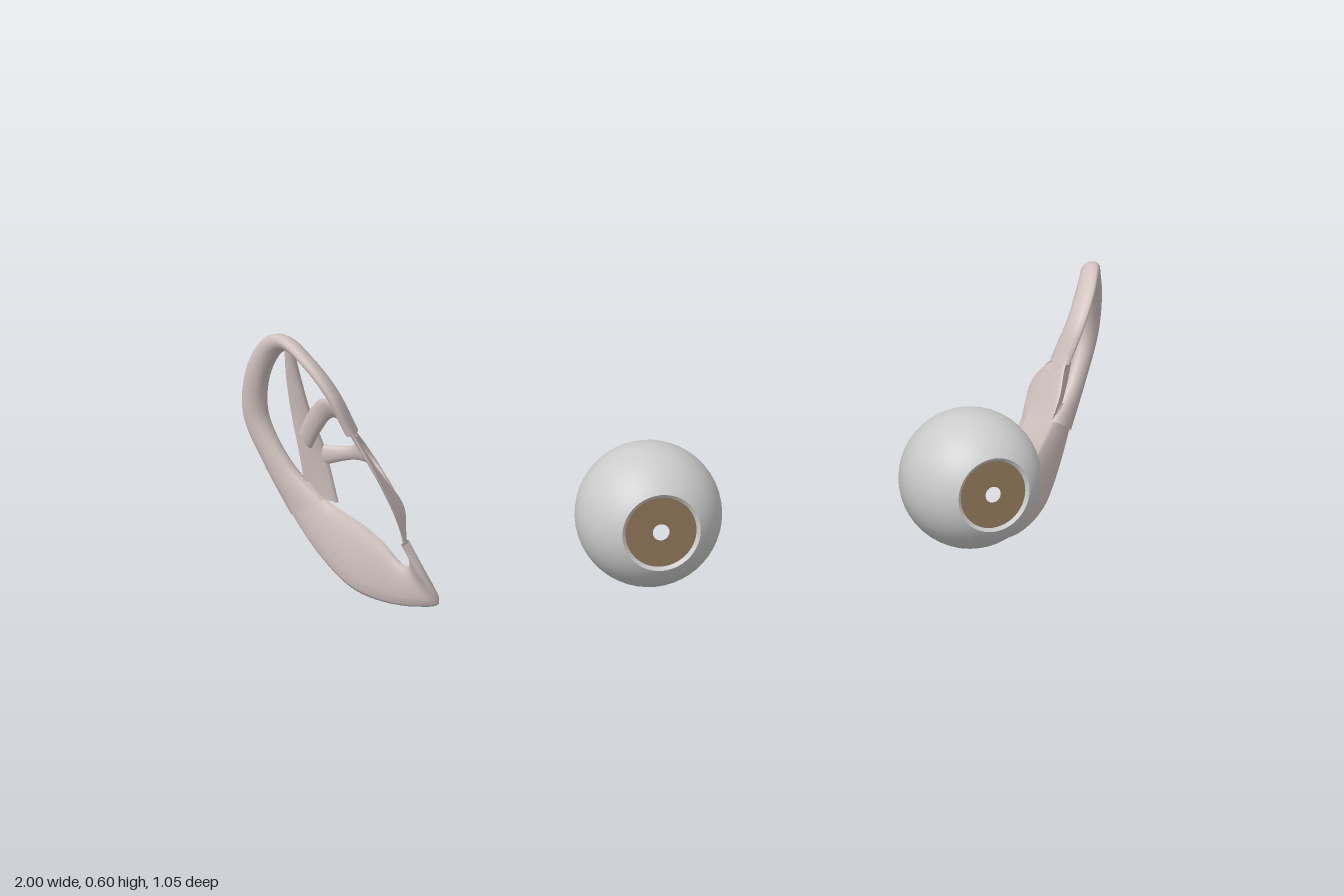
import * as THREE from 'three';

const skin = new THREE.MeshStandardMaterial({ color: 0xd2c4c0, side: THREE.DoubleSide });
const white = new THREE.MeshStandardMaterial({ color: 0xcccccc });
const brown = new THREE.MeshStandardMaterial({ color: 0x8b7355 });
const OUT = new THREE.Vector3(0.7, 0, 0.7); // the way an ear faces

function mesh(name, geometry, material) {
  const m = new THREE.Mesh(geometry, material);
  m.name = name;
  return m;
}

// Fleshy band between two edge curves (points are z, y, x) with an oval section.
function band(name, edgeA, edgeB, thickness, steps = 40, sides = 12) {
  const curve = (pts) => new THREE.CatmullRomCurve3(pts.map(([z, y, x]) => new THREE.Vector3(x, y, z)));
  const a = curve(edgeA), b = curve(edgeB);
  const pos = [], index = [];
  for (let i = 0; i <= steps; i++) {
    const p = a.getPoint(i / steps), q = b.getPoint(i / steps);
    const mid = p.clone().add(q).multiplyScalar(0.5);
    const half = p.sub(q).multiplyScalar(0.5);
    for (let j = 0; j < sides; j++) {
      const t = (j / sides) * Math.PI * 2;
      const v = mid.clone().addScaledVector(half, Math.cos(t)).addScaledVector(OUT, thickness * Math.sin(t));
      pos.push(v.x, v.y, v.z);
      if (i < steps) {
        const k = (j + 1) % sides, r = i * sides, s = r + sides;
        index.push(r + j, s + j, r + k, r + k, s + j, s + k);
      }
    }
  }
  const g = new THREE.BufferGeometry();
  g.setAttribute('position', new THREE.Float32BufferAttribute(pos, 3));
  g.setIndex(index);
  g.computeVertexNormals();
  return mesh(name, g, skin);
}

function ear() {
  const g = new THREE.Group();
  g.add(
    // outer rim, from its front root over the top and down the back
    band('earRim',
      [[-0.24, 0.41, 0.80], [-0.245, 0.503, 0.835], [-0.29, 0.565, 0.875], [-0.373, 0.6, 0.92],
        [-0.443, 0.57, 0.955], [-0.49, 0.495, 0.985], [-0.52, 0.383, 0.995], [-0.502, 0.27, 0.96], [-0.463, 0.16, 0.915]],
      [[-0.285, 0.41, 0.80], [-0.285, 0.49, 0.835], [-0.32, 0.54, 0.87], [-0.375, 0.565, 0.905],
        [-0.425, 0.53, 0.93], [-0.462, 0.46, 0.95], [-0.48, 0.38, 0.95], [-0.45, 0.28, 0.91], [-0.405, 0.21, 0.85]],
      0.022, 60),
    // lobe, tapering to a thin front edge
    band('earLobe',
      [[-0.485, 0.21, 0.935], [-0.463, 0.16, 0.915], [-0.407, 0.075, 0.865], [-0.345, 0.02, 0.81],
        [-0.295, 0.003, 0.755], [-0.234, 0.008, 0.69], [-0.197, 0.025, 0.645], [-0.186, 0.09, 0.67], [-0.196, 0.17, 0.71]],
      [[-0.425, 0.25, 0.87], [-0.405, 0.21, 0.845], [-0.375, 0.193, 0.82], [-0.33, 0.173, 0.78],
        [-0.285, 0.14, 0.74], [-0.256, 0.105, 0.715], [-0.235, 0.105, 0.70], [-0.215, 0.135, 0.70], [-0.198, 0.178, 0.71]],
      0.014, 60),
    // inner ridge, running down to meet the lobe
    band('innerRidge',
      [[-0.40, 0.575, 0.91], [-0.42, 0.50, 0.91], [-0.432, 0.42, 0.905], [-0.43, 0.32, 0.895], [-0.445, 0.23, 0.885]],
      [[-0.365, 0.565, 0.90], [-0.385, 0.49, 0.885], [-0.396, 0.42, 0.87], [-0.405, 0.32, 0.84], [-0.40, 0.20, 0.82]],
      0.012),
    // arch under the upper hollow
    band('upperArch',
      [[-0.25, 0.43, 0.81], [-0.285, 0.467, 0.83], [-0.335, 0.465, 0.85], [-0.375, 0.43, 0.87], [-0.42, 0.37, 0.89]],
      [[-0.275, 0.39, 0.79], [-0.30, 0.42, 0.81], [-0.335, 0.42, 0.83], [-0.365, 0.385, 0.85], [-0.405, 0.33, 0.87]],
      0.011),
    // bar crossing the bowl of the ear
    band('bowlBar',
      [[-0.26, 0.42, 0.80], [-0.30, 0.40, 0.79], [-0.34, 0.358, 0.78], [-0.375, 0.338, 0.80], [-0.42, 0.335, 0.86]],
      [[-0.26, 0.25, 0.71], [-0.28, 0.265, 0.72], [-0.31, 0.305, 0.745], [-0.36, 0.31, 0.78], [-0.415, 0.285, 0.85]],
      0.009),
    // flap in front of the ear canal
    band('frontFlap',
      [[-0.196, 0.175, 0.71], [-0.183, 0.257, 0.735], [-0.19, 0.347, 0.77], [-0.233, 0.41, 0.80], [-0.245, 0.48, 0.83]],
      [[-0.20, 0.172, 0.71], [-0.265, 0.232, 0.70], [-0.305, 0.30, 0.745], [-0.31, 0.38, 0.79], [-0.283, 0.47, 0.83]],
      0.008),
  );
  return g;
}

function eye() {
  const g = new THREE.Group();
  const R = 0.141, open = 0.56;
  const ball = new THREE.SphereGeometry(R, 48, 32, 0, Math.PI * 2, open, Math.PI - open);
  ball.rotateX(Math.PI / 2); // opening to the front
  const r = R * Math.sin(open), z = R * Math.cos(open);
  // lip stepping in from the ball to the iris
  const lip = new THREE.LatheGeometry([new THREE.Vector2(0.067, z - 0.006), new THREE.Vector2(r, z)].reverse(), 48);
  lip.rotateX(Math.PI / 2);
  const lipMesh = mesh('irisLip', lip, white.clone());
  lipMesh.material.side = THREE.DoubleSide;
  // iris with an open pupil
  const iris = mesh('iris', new THREE.RingGeometry(0.016, 0.068, 48, 2), brown);
  iris.position.z = z - 0.005;
  g.add(mesh('eyeball', ball, white), lipMesh, iris);
  g.rotation.set(-0.06, 0.04, 0);
  g.position.set(0.328, 0.43, 0.397);
  return g;
}

export function createModel() {
  const model = new THREE.Group();
  for (const [side, s] of [['left', 1], ['right', -1]]) {
    const half = new THREE.Group();
    const e = ear(), b = eye();
    e.name = side + 'Ear';
    b.name = side + 'Eye';
    half.name = side + 'Side';
    half.add(e, b);
    half.scale.x = s; // mirrored pair
    model.add(half);
  }
  return model;
}
